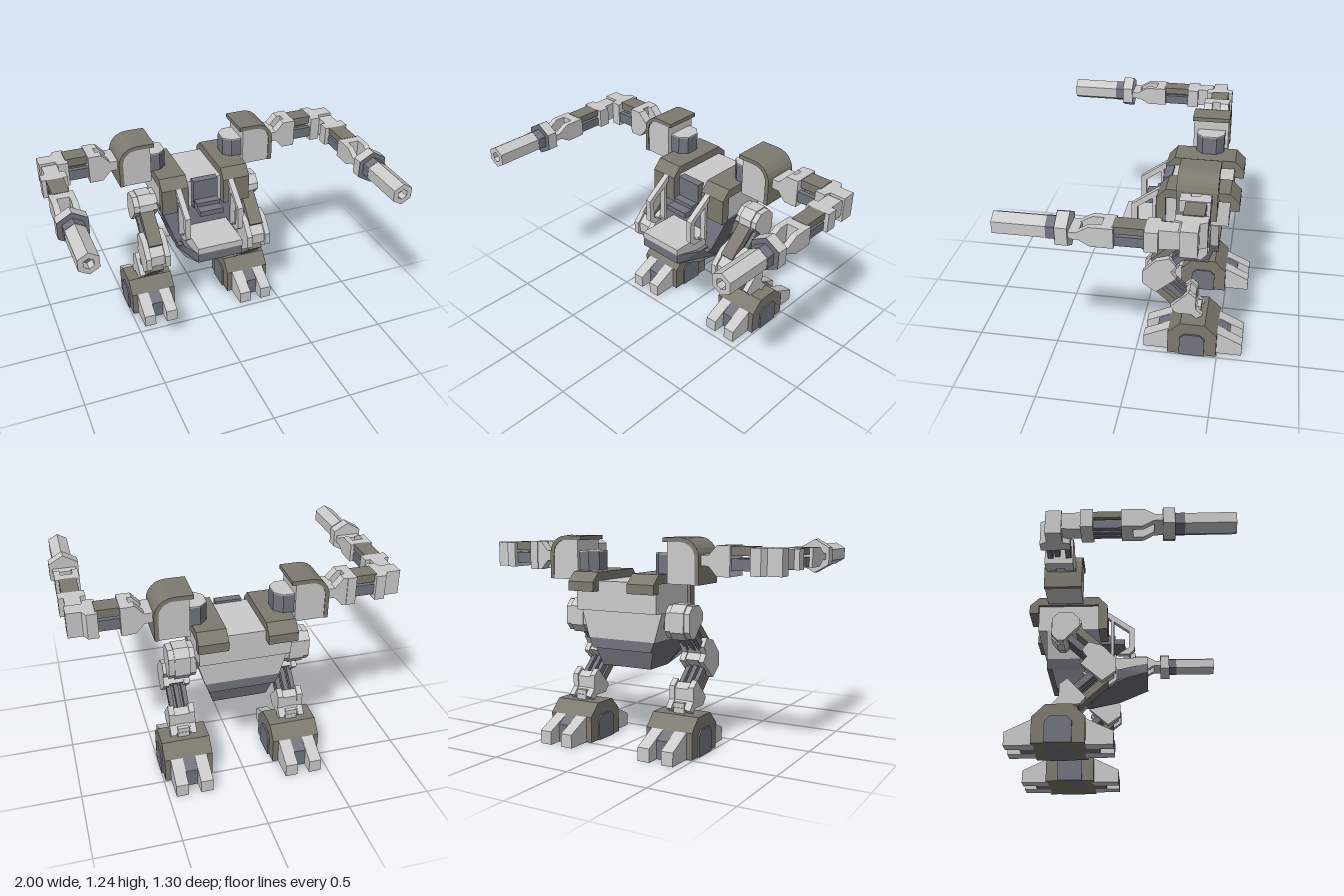
import * as THREE from 'three';

const material = (color) => new THREE.MeshStandardMaterial({ color, flatShading: true, side: THREE.DoubleSide });
const LIGHT = material(0xcccccc), OLIVE = material(0x7d7a70), DARK = material(0x72757f);

export function createModel() {
  const root = new THREE.Group();
  root.name = 'walkerRobot';
  let target = root;

  const add = (name, mat, geo) => {
    const mesh = new THREE.Mesh(geo, mat);
    mesh.name = name;
    target.add(mesh);
    return mesh;
  };
  const group = (name, build) => {
    const parent = target;
    target = new THREE.Group();
    target.name = name;
    parent.add(target);
    build();
    target = parent;
  };
  const extrude = (pts, depth, holePts) => {
    const shape = new THREE.Shape(pts.map(([a, b]) => new THREE.Vector2(a, b)));
    if (holePts) shape.holes.push(new THREE.Path(holePts.map(([a, b]) => new THREE.Vector2(a, b))));
    return new THREE.ExtrudeGeometry(shape, { depth, bevelEnabled: false });
  };
  // Prisms along each axis; profiles are [z,y], [x,z] and [x,y]
  const prismX = (name, mat, pts, xa, xb) =>
    add(name, mat, extrude(pts, Math.abs(xb - xa)).rotateY(-Math.PI / 2).translate(Math.max(xa, xb), 0, 0));
  const prismY = (name, mat, pts, y0, y1) =>
    add(name, mat, extrude(pts.map(([x, z]) => [x, -z]), y1 - y0).rotateX(-Math.PI / 2).translate(0, y0, 0));
  const prismZ = (name, mat, pts, z0, z1, hole) =>
    add(name, mat, extrude(pts, z1 - z0, hole).translate(0, 0, z0));
  const box = (name, mat, xa, xb, y0, y1, z0, z1) =>
    add(name, mat, new THREE.BoxGeometry(Math.abs(xb - xa), y1 - y0, z1 - z0)
      .translate((xa + xb) / 2, (y0 + y1) / 2, (z0 + z1) / 2));
  // Box whose bottom has its own half width and z range
  const taper = (name, mat, [y1, w1, a1, b1], [y0, w0, a0, b0]) => {
    const geo = new THREE.BoxGeometry(2, 2, 2), p = geo.attributes.position;
    for (let i = 0; i < p.count; i++) {
      const up = p.getY(i) > 0, [w, a, b] = up ? [w1, a1, b1] : [w0, a0, b0];
      p.setXYZ(i, p.getX(i) * w, up ? y1 : y0, p.getZ(i) > 0 ? b : a);
    }
    geo.computeVertexNormals();
    return add(name, mat, geo);
  };
  // Straight bar in the z-y plane, pushed sideways by an offset
  const beam = (name, mat, xa, xb, [z0, y0], [z1, y1], offset, thick) => {
    const len = Math.hypot(z1 - z0, y1 - y0), nz = -(y1 - y0) / len, ny = (z1 - z0) / len;
    const at = (z, y, o) => [z + nz * o, y + ny * o];
    const a = offset - thick / 2, b = offset + thick / 2;
    prismX(name, mat, [at(z0, y0, a), at(z1, y1, a), at(z1, y1, b), at(z0, y0, b)], xa, xb);
  };
  const shrink = (pts, k) => {
    const c = [0, 1].map((i) => pts.reduce((t, p) => t + p[i], 0) / pts.length);
    return pts.map((p) => p.map((v, i) => c[i] + (v - c[i]) * k));
  };
  const hexagon = (cx, cy, r) => Array.from({ length: 6 }, (_, i) =>
    [cx + r * Math.sin(i * Math.PI / 3), cy + r * Math.cos(i * Math.PI / 3)]);

  group('body', () => {
    box('upperHull', LIGHT, -0.27, 0.27, 0.81, 0.985, -0.515, -0.14);
    taper('rearHull', LIGHT, [0.81, 0.275, -0.46, -0.25], [0.64, 0.225, -0.46, -0.25]);
    taper('rearSkirt', DARK, [0.64, 0.225, -0.46, -0.25], [0.58, 0.2, -0.46, -0.25]);
    taper('frontHull', DARK, [0.81, 0.28, -0.25, -0.14], [0.58, 0.2, -0.25, -0.1]);
    taper('belly', DARK, [0.58, 0.2, -0.43, -0.06], [0.47, 0.165, -0.4, -0.2]);
    prismX('noseTop', LIGHT, [[0.155, 0.68], [0.155, 0.64], [-0.03, 0.588], [-0.15, 0.56], [-0.15, 0.68]], -0.145, 0.145);
    // Underside of the nose, wider toward the back
    const under = prismX('noseUnderside', DARK, [[0.155, 0.64], [0.155, 0.58], [-0.03, 0.51], [-0.22, 0.47], [-0.22, 0.6], [-0.03, 0.588]], -0.145, 0.145);
    const p = under.geometry.attributes.position;
    for (let i = 0; i < p.count; i++) if (p.getZ(i) < 0) p.setX(i, p.getX(i) * 1.17);
    box('seatBack', DARK, -0.08, 0.08, 0.81, 1.0, -0.15, -0.1);
    box('console', DARK, -0.075, 0.075, 0.81, 0.845, -0.14, 0.01);
    box('consoleStep', DARK, -0.075, 0.075, 0.845, 0.87, -0.14, -0.05);
    for (const s of [-1, 1]) {
      prismX('shoulderArmour', OLIVE, [[-0.09, 0.81], [-0.09, 0.975], [-0.145, 1.035], [-0.515, 1.035], [-0.573, 0.98],
        [-0.573, 0.925], [-0.516, 0.925], [-0.516, 0.98], [-0.145, 0.98], [-0.145, 0.81]], s * 0.115, s * 0.288);
      // Cockpit frame
      const x = s > 0 ? 0.147 : -0.198;
      prismX('cockpitFrame', LIGHT, [[0.075, 0.855], [0.075, 0.71], [0.04, 0.68], [-0.03, 0.68], [0.04, 0.725],
        [0.04, 0.84], [-0.09, 0.935], [-0.09, 0.975]], x, x + 0.035);
      box('cockpitPost', LIGHT, x, x + 0.035, 0.67, 0.94, -0.072, -0.052);
    }
  });

  const buildArm = (s) => {
    const X = (pts) => pts.map(([x, v]) => [x * s, v]);
    // Shoulder housing under a curved shell
    const arc = (r) => Array.from({ length: 7 }, (_, i) => {
      const t = i * Math.PI / 12;
      return [0.395 + r * Math.sin(t), 1.128 + r * Math.cos(t)];
    });
    const outer = arc(0.11), inner = arc(0.085);
    prismZ('shoulderShell', OLIVE, X([[0.28, 1.238], ...outer, [0.505, 0.98], [0.48, 0.98], ...inner.reverse(), [0.28, 1.213]]), -0.459, -0.232);
    prismZ('shoulderCore', LIGHT, X([[0.305, 0.98], [0.305, 1.213], ...inner.slice().reverse(), [0.48, 0.98]]), -0.455, -0.238);
    const mount = X([[0.31, -0.435], [0.24, -0.435], [0.195, -0.39], [0.195, -0.305], [0.24, -0.265], [0.31, -0.265]]);
    prismY('shoulderMount', DARK, mount, 1.03, 1.143);
    prismY('shoulderMountCap', LIGHT, mount, 1.143, 1.15);

    // Upper arm: forked joint, bars, elbow
    for (const z of [-0.43, -0.325]) {
      prismZ('upperArmFork', LIGHT, X([[0.5, 1.085], [0.55, 1.085], [0.6, 1.03], [0.64, 1.03], [0.64, 1.2], [0.6, 1.2], [0.55, 1.145], [0.5, 1.145]]), z, z + 0.055);
      box('upperArmRod', DARK, s * 0.67, s * 0.81, 1.065, 1.13, z + 0.015, z + 0.045);
    }
    box('upperArmPivot', LIGHT, s * 0.5, s * 0.56, 1.085, 1.145, -0.4, -0.3);
    box('upperArmBlock', LIGHT, s * 0.625, s * 0.68, 1.03, 1.2, -0.435, -0.27);
    box('upperArmBar', OLIVE, s * 0.67, s * 0.81, 1.145, 1.195, -0.415, -0.305);
    box('upperArmRod', DARK, s * 0.67, s * 0.81, 1.075, 1.12, -0.375, -0.345);
    prismY('elbow', LIGHT, X([[0.8, -0.44], [0.86, -0.44], [0.88, -0.4], [0.965, -0.4], [0.965, -0.31], [0.87, -0.31], [0.86, -0.27], [0.8, -0.27]]), 1.04, 1.19);

    // Forearm: block, bars, forked wrist
    prismX('forearmBlock', LIGHT, [[-0.36, 1.09], [-0.36, 1.14], [-0.3, 1.18], [-0.135, 1.18], [-0.135, 1.065], [-0.3, 1.075]], s * 0.865, s * 0.955);
    box('forearmCollar', LIGHT, s * 0.835, s * 0.985, 1.065, 1.18, -0.205, -0.135);
    box('forearmBar', OLIVE, s * 0.86, s * 0.96, 1.14, 1.18, -0.14, 0.03);
    for (const x of [0.86, 0.895, 0.935]) box('forearmRod', DARK, s * x, s * (x + 0.025), 1.07, 1.125, -0.14, 0.03);
    for (const x of [0.84, 0.945])
      prismX('wristFork', LIGHT, [[0.02, 1.065], [0.02, 1.178], [0.145, 1.178], [0.21, 1.14], [0.25, 1.14], [0.25, 1.1], [0.2, 1.1], [0.14, 1.065]], s * x, s * (x + 0.035));
    box('wristBlock', LIGHT, s * 0.84, s * 0.98, 1.065, 1.178, 0.02, 0.085);
    box('wristPivot', LIGHT, s * 0.86, s * 0.96, 1.1, 1.14, 0.2, 0.26);

    // Hexagonal gun
    const cx = s * 0.911, cy = 1.12;
    prismZ('gunCollar', LIGHT, hexagon(cx, cy, 0.1), 0.25, 0.312);
    prismZ('gunCollarFace', DARK, hexagon(cx, cy, 0.1), 0.312, 0.316);
    prismZ('gunSleeve', DARK, hexagon(cx, cy, 0.068), 0.316, 0.37);
    prismZ('gunBarrel', LIGHT, hexagon(cx, cy, 0.066), 0.37, 0.653, hexagon(cx, cy, 0.032));
    prismZ('gunBore', DARK, hexagon(cx, cy, 0.032), 0.37, 0.6);
  };

  const buildLeg = (s) => {
    const joint = (name, pts, core, cheek) => {
      prismX(name + 'Core', LIGHT, shrink(pts, core), s * 0.3, s * 0.39);
      for (const x of [0.265, 0.39]) prismX(name + 'Cheek', LIGHT, shrink(pts, cheek), s * x, s * (x + 0.035));
    };
    // Olive bar beside a row of dark rods
    const bars = (name, a, b, side) => {
      beam(name + 'Bar', OLIVE, s * 0.3, s * 0.39, a, b, side * 0.045, 0.045);
      for (const x of [0.285, 0.33, 0.375]) beam(name + 'Rod', DARK, s * x, s * (x + 0.028), a, b, -side * 0.03, 0.04);
    };
    box('hipAxle', DARK, s * 0.2, s * 0.3, 0.72, 0.8, -0.4, -0.32);
    joint('hip', [[-0.29, 0.86], [-0.375, 0.86], [-0.418, 0.815], [-0.418, 0.7], [-0.38, 0.655], [-0.34, 0.655], [-0.235, 0.765], [-0.24, 0.81]], 1, 0.92);
    bars('thigh', [-0.31, 0.74], [-0.12, 0.56], 1);
    joint('knee', [[-0.03, 0.54], [-0.03, 0.46], [-0.11, 0.4], [-0.235, 0.51], [-0.2, 0.555], [-0.23, 0.6], [-0.19, 0.65], [-0.11, 0.625]], 0.85, 1);
    bars('shin', [-0.12, 0.46], [-0.29, 0.305], 1);
    joint('ankle', [[-0.31, 0.417], [-0.355, 0.38], [-0.355, 0.3], [-0.398, 0.255], [-0.36, 0.23], [-0.33, 0.256], [-0.235, 0.256], [-0.2, 0.3]], 0.85, 1);
    box('anklePivot', LIGHT, s * 0.31, s * 0.38, 0.21, 0.29, -0.385, -0.325);

    // Foot with side panels and paired toes at both ends
    const z = (v) => -0.345 + v;
    prismX('foot', OLIVE, [[z(0.15), 0], [z(0.15), 0.155], [z(0.075), 0.23], [z(-0.075), 0.23], [z(-0.15), 0.155], [z(-0.15), 0]], s * 0.195, s * 0.49);
    const panel = [[z(0.077), 0], [z(0.077), 0.125], [z(0.048), 0.155], [z(-0.048), 0.155], [z(-0.077), 0.125], [z(-0.077), 0]];
    prismX('footSidePanel', DARK, panel, s * 0.185, s * 0.5);
    for (const d of [1, -1]) {
      const toe = (len, tip) => [[z(d * 0.14), 0], [z(d * 0.14), 0.155], [z(d * 0.15), 0.155], [z(d * len), tip], [z(d * len), 0]];
      for (const x of [0.23, 0.38]) prismX('toe', LIGHT, toe(0.305, 0.08), s * x, s * (x + 0.075));
      prismX('toeBridge', DARK, toe(0.225, 0.11), s * 0.305, s * 0.38);
    }
  };

  for (const [s, side] of [[1, 'left'], [-1, 'right']]) {
    group(side + 'Arm', () => buildArm(s));
    group(side + 'Leg', () => buildLeg(s));
  }
  return root;
}
